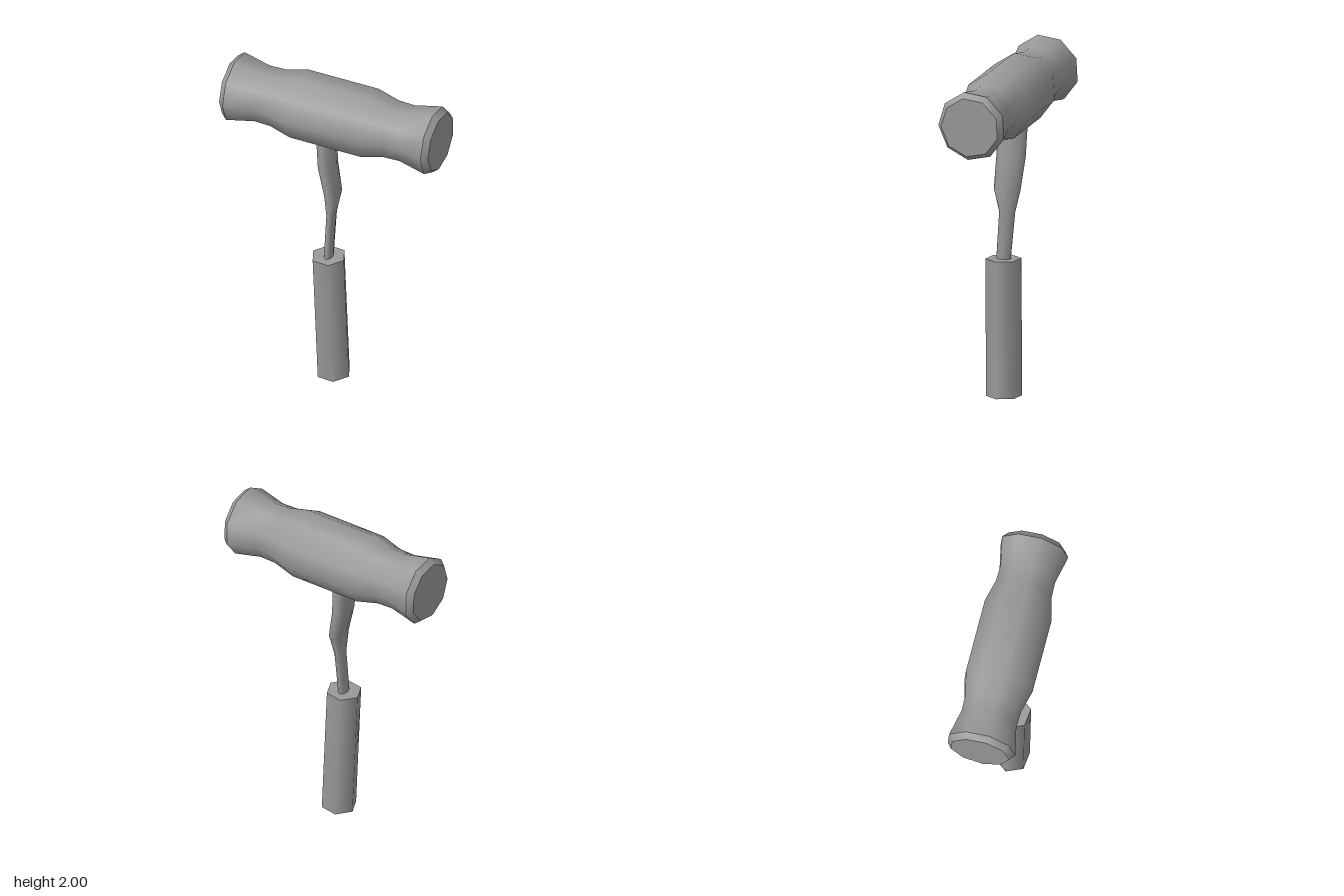
import * as THREE from 'three';
import { toCreasedNormals } from 'three/addons/utils/BufferGeometryUtils.js';

const material = new THREE.MeshStandardMaterial({ color: 0x9a9a9a });

// Place a y-axis geometry so that its axis runs from a to b
function addAlong(group, name, geometry, a, b) {
  const mesh = new THREE.Mesh(geometry, material);
  mesh.name = name;
  mesh.position.copy(a).add(b).multiplyScalar(0.5);
  mesh.quaternion.setFromUnitVectors(new THREE.Vector3(0, 1, 0), b.clone().sub(a).normalize());
  group.add(mesh);
}

// Closed rings of elliptical sections: [y, centre x, centre z, radius x, radius z]
function loftGeometry(sections, sides) {
  const positions = [], indices = [];
  sections.forEach(([y, cx, cz, rx, rz], row) => {
    for (let i = 0; i < sides; i++) {
      const t = (i / sides) * Math.PI * 2;
      positions.push(cx + rx * Math.sin(t), y, cz + rz * Math.cos(t));
      if (row === 0) continue;
      const j = (i + 1) % sides, low = (row - 1) * sides, high = row * sides;
      indices.push(low + i, low + j, high + j, low + i, high + j, high + i);
    }
  });
  const geometry = new THREE.BufferGeometry();
  geometry.setAttribute('position', new THREE.Float32BufferAttribute(positions, 3));
  geometry.setIndex(indices);
  geometry.computeVertexNormals();
  return geometry;
}

export function createModel() {
  const group = new THREE.Group();
  group.name = 'mallet';

  // Head: turned profile, mirrored about the middle, with chamfered ends
  const half = [[0, 0.663], [0.176, 0.663], [0.205, 0.628], [0.169, 0.46], [0.172, 0.36], [0.206, 0.225]];
  const profile = [
    ...half.map(([r, y]) => new THREE.Vector2(r, -y)),
    ...half.slice().reverse().map(([r, y]) => new THREE.Vector2(r, y)),
  ];
  const head = toCreasedNormals(new THREE.LatheGeometry(profile, 9), 0.8);
  addAlong(group, 'head', head,
    new THREE.Vector3(-0.66, 1.801, -0.04), new THREE.Vector3(0.66, 1.783, 0.034));

  // Shaft: bent and flattened, widening towards the head
  const shaft = new THREE.Mesh(loftGeometry([
    [0.78, -0.032, 0.04, 0.026, 0.043],
    [1.1, -0.023, 0.013, 0.027, 0.048],
    [1.24, -0.014, 0.01, 0.046, 0.08],
    [1.43, -0.052, -0.002, 0.053, 0.088],
    [1.68, -0.064, -0.008, 0.055, 0.094],
  ], 8), material);
  shaft.name = 'shaft';
  group.add(shaft);

  // Handle: six-sided grip, leaning slightly
  const grip = new THREE.CylinderGeometry(0.104, 0.104, 0.812, 6).rotateY(Math.PI / 9);
  addAlong(group, 'handle', grip,
    new THREE.Vector3(-0.005, 0.008, 0.026), new THREE.Vector3(-0.032, 0.82, 0.038));

  return group;
}
